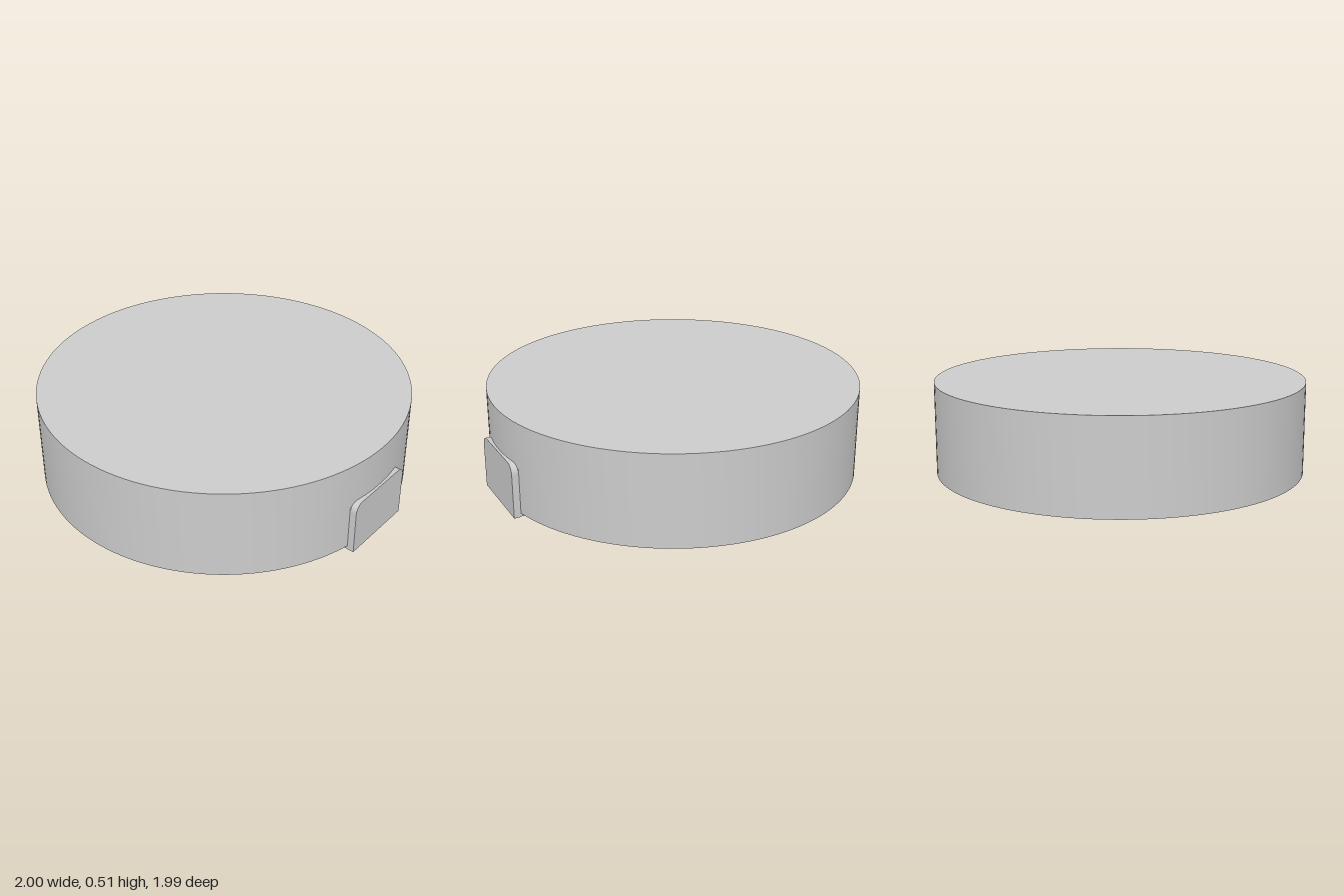
import * as THREE from 'three';
import { toCreasedNormals } from 'three/addons/utils/BufferGeometryUtils.js';

export function createModel() {
  const group = new THREE.Group();
  const grey = new THREE.MeshStandardMaterial({ color: 0xcccccc });
  const thin = new THREE.MeshStandardMaterial({ color: 0xcccccc, side: THREE.DoubleSide });

  const add = (name, geometry, material = grey) => {
    const mesh = new THREE.Mesh(geometry, material);
    mesh.name = name;
    group.add(mesh);
    return mesh;
  };
  // Box given by its min and max corners
  const box = (name, [x0, y0, z0], [x1, y1, z1]) =>
    add(name, new THREE.BoxGeometry(x1 - x0, y1 - y0, z1 - z0))
      .position.set((x0 + x1) / 2, (y0 + y1) / 2, (z0 + z1) / 2);

  const cx = -0.006, outer = 0.993, inner = 0.967;
  const bottom = 0.022, ceiling = 0.455, top = 0.515;

  // Hollow round lid
  const profile = [
    [0, ceiling], [inner, ceiling], [inner, bottom],
    [outer, bottom], [outer, top], [0, top],
  ].map(([r, y]) => new THREE.Vector2(r, y));
  const lid = new THREE.LatheGeometry(profile, 128);
  add('lid', toCreasedNormals(lid, 0.6)).position.x = cx;

  // Underside sheet: circle segments either side of a long triangular opening
  const left = 0.3, tip = 2.556, right = Math.PI * 2 - 0.195;
  for (const [from, to] of [[left, tip], [tip, right]]) {
    const segment = new THREE.Shape().absarc(0, 0, inner, from, to, false);
    const sheet = new THREE.ShapeGeometry(segment, 64).rotateX(Math.PI / 2);
    add('underside', sheet, thin).position.set(cx, bottom, 0);
  }

  // Grip tab with rounded upper corners
  const w = 0.213, h = 0.29, r = 0.05;
  const outline = new THREE.Shape();
  outline.moveTo(-w, 0);
  outline.lineTo(w, 0);
  outline.lineTo(w, h - r);
  outline.absarc(w - r, h - r, r, 0, Math.PI / 2, false);
  outline.lineTo(-w + r, h);
  outline.absarc(-w + r, h - r, r, Math.PI / 2, Math.PI, false);
  outline.closePath();
  const plate = new THREE.ExtrudeGeometry(outline, { depth: 0.035, bevelEnabled: false, curveSegments: 8 });
  plate.rotateY(Math.PI / 2);
  add('tab', toCreasedNormals(plate, 0.6)).position.x = 0.965;

  // Pocket behind the tab, open at the bottom
  for (const side of [-1, 1]) {
    const a = side * 0.19, b = side * w;
    box('pocketSide', [0.875, 0.003, Math.min(a, b)], [0.966, 0.25, Math.max(a, b)]);
  }
  box('pocketBack', [0.865, 0.003, -w], [0.88, 0.25, w]);
  box('pocketRoof', [0.865, 0.25, -w], [0.966, 0.265, w]);

  return group;
}
